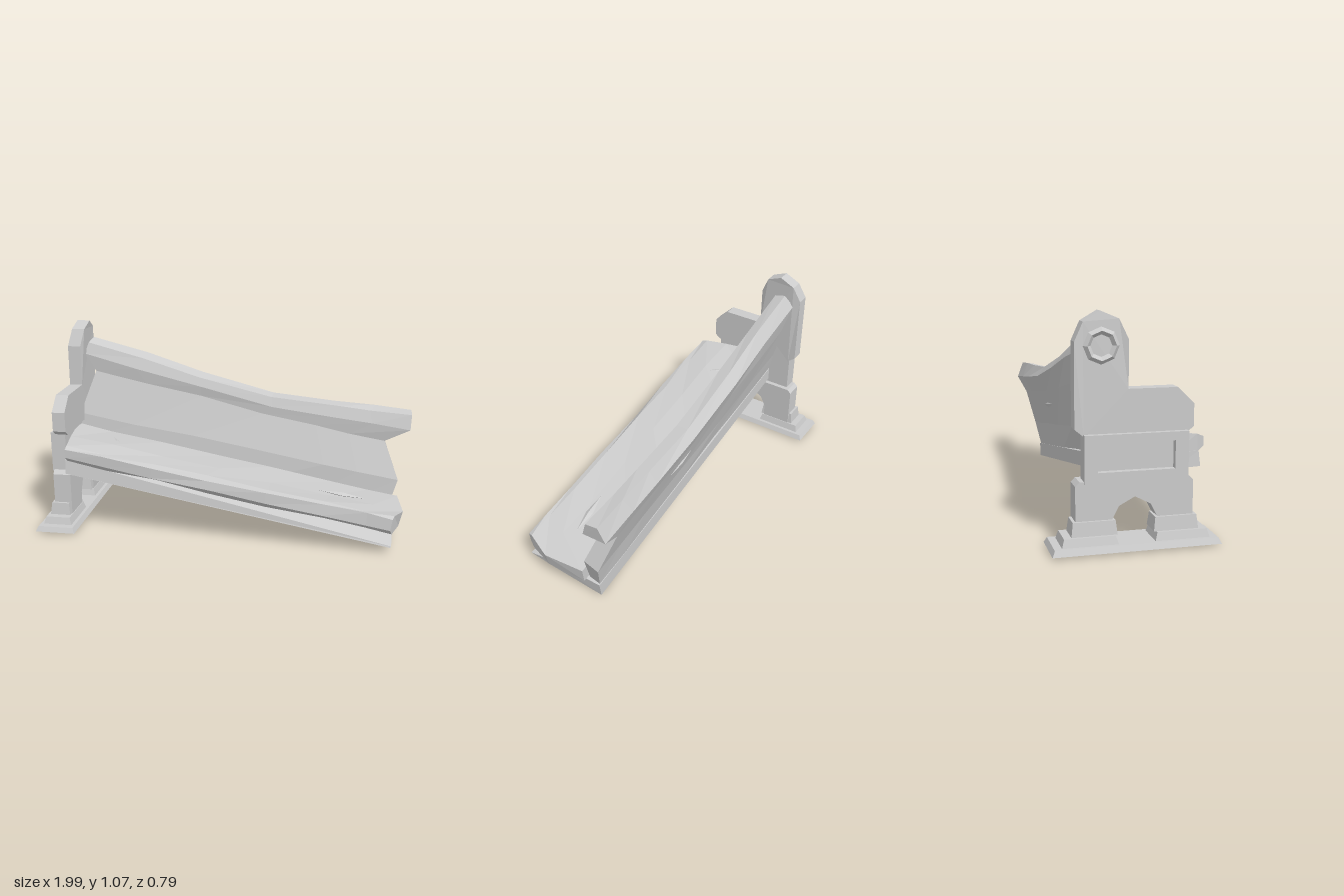
import * as THREE from 'three';

const mat = new THREE.MeshStandardMaterial({ color: 0xcccccc, flatShading: true });

function add(parent, name, geometry) {
  const mesh = new THREE.Mesh(geometry, mat);
  mesh.name = name;
  parent.add(mesh);
  return mesh;
}

function seeded(seed) {
  return () => {
    seed = (seed * 16807) % 2147483647;
    return seed / 2147483647 - 0.5;
  };
}

// Worn plank: a ring of lines [xl, yl, zl, xr, yr, zr, sag], clockwise seen from +x,
// run through stations t, dented by a seeded jitter
function plank(lines, stations, seed, wear) {
  const rnd = seeded(seed), n = lines.length, pos = [], idx = [];
  stations.forEach((t, s) => {
    const inner = s > 0 && s < stations.length - 1;
    for (const [xl, yl, zl, xr, yr, zr, sag = 0] of lines) {
      const dip = sag * (t < 0.58 ? t / 0.58 : (1 - t) / 0.42);
      const j = inner ? wear : 0;
      pos.push(xl + (xr - xl) * t + rnd() * j * 3,
        yl + (yr - yl) * t - dip + rnd() * j, zl + (zr - zl) * t + rnd() * j * 0.6);
    }
  });
  const quad = (a, b, c, d) => idx.push(a, b, c, a, c, d);
  for (let s = 0; s < stations.length - 1; s++)
    for (let i = 0; i < n; i++) {
      const k = (i + 1) % n, a = s * n, b = a + n;
      quad(a + i, b + i, b + k, a + k);
    }
  // End caps as strips between opposite sides of the ring
  const e = (stations.length - 1) * n;
  for (let i = 0; i < n / 2 - 1; i++) {
    const p = n - 1 - i;
    quad(i, i + 1, p - 1, p);
    quad(e + i, e + p, e + p - 1, e + i + 1);
  }
  const g = new THREE.BufferGeometry();
  g.setAttribute('position', new THREE.Float32BufferAttribute(pos, 3));
  g.setIndex(idx);
  const flat = g.toNonIndexed();
  flat.computeVertexNormals();
  return flat;
}

// Outline of [z, y] points extruded between two x values
function slab(points, x0, x1, hole) {
  const toV = ([z, y]) => new THREE.Vector2(z, y);
  const shape = new THREE.Shape(points.map(toV));
  if (hole) shape.holes.push(new THREE.Path(hole.map(toV)));
  const g = new THREE.ExtrudeGeometry(shape, { depth: x1 - x0, bevelEnabled: false });
  return g.rotateY(-Math.PI / 2).translate(x1, 0, 0);
}

const rect = (z0, z1, y0, y1) => [[z0, y0], [z1, y0], [z1, y1], [z0, y1]];

// Block whose top is inset by a chamfer
function taperBlock(x0, x1, y0, y1, z0, z1, inset) {
  const g = new THREE.BoxGeometry(x1 - x0, y1 - y0, z1 - z0);
  const p = g.attributes.position;
  for (let i = 0; i < p.count; i++)
    if (p.getY(i) > 0) {
      p.setX(i, p.getX(i) - Math.sign(p.getX(i)) * inset);
      p.setZ(i, p.getZ(i) - Math.sign(p.getZ(i)) * inset);
    }
  g.translate((x0 + x1) / 2, (y0 + y1) / 2, (z0 + z1) / 2);
  g.computeVertexNormals();
  return g;
}

function buildEndPanel() {
  const end = new THREE.Group();
  end.name = 'endPanel';

  // Base plate and stepped feet
  add(end, 'basePlate', taperBlock(-1, -0.785, 0.01, 0.037, -0.393, 0.393, 0.013));
  for (const s of [-1, 1]) {
    const tier = (name, x0, x1, y0, y1, outer, inset) =>
      add(end, name, taperBlock(x0, x1, y0, y1, s > 0 ? 0.085 : -outer, s > 0 ? outer : -0.085, inset));
    tier('footLowerStep', -0.97, -0.815, 0.035, 0.075, 0.345, 0.012);
    tier('footUpperStep', -0.945, -0.835, 0.075, 0.14, 0.297, 0.008);
  }

  // Legs joined by an arch
  add(end, 'archedLegs', slab([
    [-0.275, 0.035], [-0.105, 0.035], [-0.105, 0.14], [-0.075, 0.2], [0, 0.24],
    [0.075, 0.2], [0.105, 0.14], [0.105, 0.035], [0.275, 0.035],
    [0.275, 0.3], [0.255, 0.32], [-0.255, 0.32], [-0.275, 0.3],
  ], -0.925, -0.83));

  // Middle panel with a recessed rectangle on the outer side
  add(end, 'middlePanel', slab(rect(-0.235, 0.248, 0.31, 0.55), -0.905, -0.855));
  add(end, 'middleFrame', slab(rect(-0.235, 0.248, 0.31, 0.53), -0.935, -0.905, rect(-0.175, 0.185, 0.36, 0.49)));

  // Upper panel with rounded head and arm
  const upper = slab([
    [-0.233, 0.52], [0.247, 0.52], [0.278, 0.545], [0.278, 0.65], [0.2, 0.727], [-0.03, 0.727],
    [-0.03, 0.945], [-0.07, 1.035], [-0.153, 1.07], [-0.233, 1.025], [-0.275, 0.94], [-0.275, 0.555],
  ], -0.91, -0.84);
  const p = upper.attributes.position;
  for (let i = 0; i < p.count; i++)
    p.setX(i, p.getX(i) + 0.022 * Math.max(0, (p.getY(i) - 0.94) / 0.13));
  upper.computeVertexNormals();
  add(end, 'upperPanel', upper);

  // Eight-sided ring on the outer face
  const ring = new THREE.TorusGeometry(0.066, 0.017, 4, 8);
  add(end, 'roundel', ring.rotateX(0).rotateY(Math.PI / 2).translate(-0.905, 0.92, -0.153));
  return end;
}

export function createModel() {
  const pew = new THREE.Group();
  pew.name = 'brokenPew';
  pew.add(buildEndPanel());

  // Backrest with band, leaning panel and top rail; snapped ends
  add(pew, 'backrest', plank([
    [-0.86, 0.41, -0.03, 0.88, 0.08, -0.03],
    [-0.86, 0.56, -0.042, 0.93, 0.25, -0.045],
    [-0.78, 0.79, -0.113, 0.85, 0.45, -0.115, 0.01],
    [-0.84, 0.89, -0.105, 0.985, 0.52, -0.105, 0.06],
    [-0.82, 0.95, -0.125, 0.99, 0.6, -0.13, 0.08],
    [-0.81, 0.97, -0.19, 0.99, 0.61, -0.2, 0.085],
    [-0.84, 0.9, -0.235, 0.98, 0.52, -0.235, 0.05],
    [-0.78, 0.75, -0.2, 0.85, 0.44, -0.2, 0.01],
    [-0.86, 0.53, -0.13, 0.93, 0.22, -0.13],
    [-0.86, 0.41, -0.1, 0.89, 0.08, -0.1],
  ], [0, 0.17, 0.36, 0.58, 0.77, 0.88, 1], 11, 0.012));

  // Seat board with a worn front lip
  add(pew, 'seat', plank([
    [-0.87, 0.41, -0.025, 0.92, 0.085, -0.025],
    [-0.85, 0.405, 0.2, 0.93, 0.085, 0.2],
    [-0.82, 0.405, 0.335, 0.89, 0.095, 0.335],
    [-0.82, 0.43, 0.362, 0.88, 0.125, 0.362],
    [-0.82, 0.475, 0.362, 0.89, 0.185, 0.358],
    [-0.82, 0.488, 0.33, 0.9, 0.195, 0.33],
    [-0.84, 0.497, 0.2, 0.95, 0.168, 0.2],
    [-0.87, 0.505, -0.025, 0.93, 0.165, -0.025],
  ], [0, 0.12, 0.28, 0.45, 0.62, 0.8, 0.92, 1], 29, 0.016));

  // Board below the seat, its flat underside tilting with the break
  add(pew, 'underBoard', plank([
    [-0.87, 0.34, -0.105, 0.89, 0, -0.105],
    [-0.87, 0.34, 0.2, 0.89, 0.022, 0.2],
    [-0.83, 0.335, 0.345, 0.885, 0.033, 0.365],
    [-0.83, 0.41, 0.335, 0.89, 0.04, 0.362],
    [-0.87, 0.415, 0.2, 0.9, 0.08, 0.2],
    [-0.87, 0.415, -0.105, 0.9, 0.08, -0.105],
  ], [0, 1], 5, 0));

  // Raised splinters where the wood is gouged: [x, y, z, turn, length, tilt]
  const splinters = [
    [-0.6, 0.452, 0.13, 1.0, 0.17, 0],
    [0.63, 0.23, 0.16, -0.1, 0.25, 0],
    [0.25, 0.46, -0.168, 0, 0.28, Math.PI / 2],
  ];
  for (const [x, y, z, turn, length, tilt] of splinters) {
    const m = add(pew, 'splinter', new THREE.OctahedronGeometry(1));
    m.scale.set(length / 2, 0.012, 0.02);
    m.position.set(x, y, z);
    m.rotation.set(tilt, -turn, -0.18, 'ZXY');
  }
  return pew;
}
